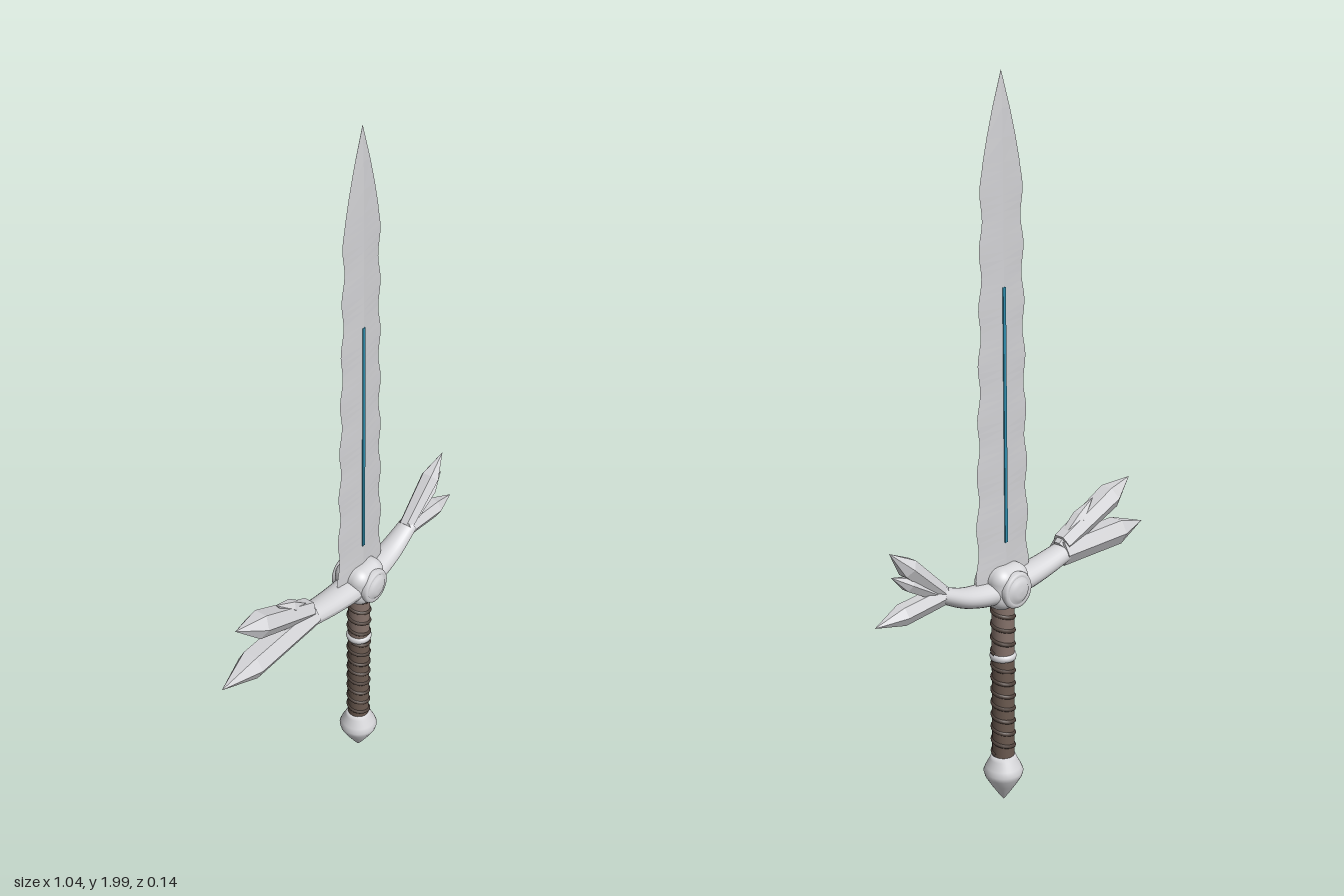
import * as THREE from 'three';
import { RoundedBoxGeometry } from 'three/addons/geometries/RoundedBoxGeometry.js';

const CX = 0.065; // sword axis

export function createModel() {
  const mat = (name, color, opts = {}) => {
    const m = new THREE.MeshStandardMaterial({ color, ...opts });
    m.name = name;
    return m;
  };
  const steel = mat('blade steel', 0xd2d2d5, { flatShading: true });
  const silver = mat('smooth silver', 0xd6d6d9);
  const crystalSilver = mat('faceted silver', 0xd4d4d7, { flatShading: true });
  const leather = mat('light leather', 0x85726a);
  const darkLeather = mat('dark leather', 0x6b5a50);
  const cord = mat('dark cord', 0x50433c);
  const blue = mat('blue inlay', 0x2f8cab);

  const model = new THREE.Group();
  model.name = 'sword';
  const add = (name, geometry, material, x = 0, y = 0, z = 0) => {
    const mesh = new THREE.Mesh(geometry, material);
    mesh.name = name;
    mesh.position.set(x, y, z);
    model.add(mesh);
    return mesh;
  };
  const lathe = (points, segments = 32) =>
    new THREE.LatheGeometry(points.map(([r, y]) => new THREE.Vector2(r, y)), segments);

  // Blade: diamond sections with wavy edges, drawn in to a point
  const bladeDepth = (y) => 0.014 - 0.008 * ((y - 0.66) / 1.12);
  function bladeGeometry() {
    const rows = [];
    for (let i = 0; i <= 56; i++) {
      const y = 0.66 + (i / 56) * 1.12;
      const mean = 0.098 - 0.028 * (i / 56);
      const wave = 0.005 * Math.cos(((y - 0.7) / 0.145) * Math.PI * 2);
      rows.push([y, mean + wave, bladeDepth(y)]);
    }
    rows.push([1.84, 0.051, 0.0055], [1.91, 0.031, 0.004], [2, 0.0005, 0.0005]);
    const pos = [], index = [];
    for (const [y, w, t] of rows) pos.push(w, y, 0, 0, y, t, -w, y, 0, 0, y, -t);
    for (let i = 0; i < rows.length - 1; i++) {
      for (let j = 0; j < 4; j++) {
        const a = i * 4 + j, b = i * 4 + ((j + 1) % 4);
        index.push(a, a + 4, b, b, a + 4, b + 4);
      }
    }
    const indexed = new THREE.BufferGeometry();
    indexed.setAttribute('position', new THREE.Float32BufferAttribute(pos, 3));
    indexed.setIndex(index);
    const g = indexed.toNonIndexed();
    g.computeVertexNormals();
    return g;
  }
  add('blade', bladeGeometry(), steel, CX);

  // Inlay strip on both faces, following the taper of the blade
  const inlayY = 1.128, inlayLength = 0.685;
  const inlayTilt = Math.atan(0.008 / 1.12);
  for (const s of [1, -1]) {
    const strip = add('bladeInlay', new THREE.BoxGeometry(0.01, inlayLength, 0.004), blue,
      CX, inlayY, s * bladeDepth(inlayY));
    strip.rotation.x = -s * inlayTilt;
  }

  // Grip in two sections with spiral binding and a ring between them
  class Helix extends THREE.Curve {
    constructor(y0, y1, turns) { super(); Object.assign(this, { y0, y1, turns }); }
    getPoint(t, target = new THREE.Vector3()) {
      const a = t * this.turns * Math.PI * 2;
      return target.set(0.029 * Math.cos(a), this.y0 + (this.y1 - this.y0) * t, 0.029 * Math.sin(a));
    }
  }
  for (const [y0, y1, turns, skin] of [[0.145, 0.452, 7.5, darkLeather], [0.452, 0.615, 3.5, leather]]) {
    add('grip', new THREE.CylinderGeometry(0.031, 0.031, y1 - y0, 24), skin, CX, (y0 + y1) / 2);
    const path = new Helix(y0 + 0.01, y1 - 0.012, turns);
    add('gripBinding', new THREE.TubeGeometry(path, turns * 24, 0.0065, 8), cord, CX);
  }
  add('gripRing', lathe([[0.028, -0.011], [0.035, -0.008], [0.037, 0], [0.035, 0.008], [0.028, 0.011]]), silver, CX, 0.452);

  // Pommel
  add('pommel', lathe([[0, 0.006], [0.012, 0.022], [0.036, 0.058], [0.052, 0.085], [0.056, 0.1],
    [0.05, 0.115], [0.038, 0.138], [0.033, 0.15], [0, 0.152]]), silver, CX);

  // Guard hub with round bosses front and back
  add('guardHub', new RoundedBoxGeometry(0.124, 0.12, 0.112, 6, 0.038), silver, CX, 0.662);
  const boss = lathe([[0.05, 0.03], [0.051, 0.054], [0.047, 0.061], [0.039, 0.062], [0.037, 0.06],
    [0.03, 0.066], [0.018, 0.07], [0, 0.071]]);
  for (const s of [1, -1]) {
    add('guardBoss', boss, silver, CX, 0.66).rotation.x = s * Math.PI / 2;
  }

  // Tapered, curved guard arms
  function armGeometry(points, r0, r1, zStretch) {
    const curve = new THREE.CatmullRomCurve3(points.map(([x, y]) => new THREE.Vector3(x, y, 0)));
    const n = 20, radial = 24;
    const g = new THREE.TubeGeometry(curve, n, 1, radial);
    const p = g.attributes.position;
    for (let i = 0; i < p.count; i++) {
      const t = Math.floor(i / (radial + 1)) / n;
      const c = curve.getPointAt(t), r = r0 + (r1 - r0) * t;
      p.setXYZ(i, c.x + (p.getX(i) - c.x) * r, c.y + (p.getY(i) - c.y) * r, p.getZ(i) * r * zStretch);
    }
    g.computeVertexNormals();
    return g;
  }
  add('rightArm', armGeometry([[CX, 0.652], [0, 0.656], [-0.08, 0.666], [-0.18, 0.686]], 0.036, 0.027, 1.32), silver);
  add('leftArm', armGeometry([[CX, 0.652], [0.13, 0.652], [0.21, 0.667], [0.3, 0.705]], 0.036, 0.021, 1.32), silver);

  // Six-sided crystals: base, tip, radius, base radius ratio, shoulder position
  const up = new THREE.Vector3(0, 1, 0);
  function crystal(name, from, to, r, baseRatio, shoulder) {
    const a = new THREE.Vector3(from[0], from[1], 0);
    const dir = new THREE.Vector3(to[0], to[1], 0).sub(a);
    const len = dir.length();
    const g = lathe([[0, 0], [r * baseRatio, 0], [r, len * shoulder], [0, len]], 6).toNonIndexed();
    g.computeVertexNormals();
    const mesh = add(name, g, crystalSilver, a.x, a.y);
    mesh.quaternion.setFromUnitVectors(up, dir.normalize());
  }
  crystal('rightLowerCrystal', [-0.16, 0.686], [-0.522, 0.681], 0.041, 0.97, 0.68);
  crystal('rightUpperCrystal', [-0.17, 0.71], [-0.459, 0.835], 0.038, 0.8, 0.7);
  crystal('rightSmallCrystal', [-0.16, 0.705], [-0.3, 0.812], 0.021, 0.9, 0.6);
  crystal('leftLowerCrystal', [0.282, 0.702], [0.52, 0.684], 0.029, 0.95, 0.62);
  crystal('leftUpperCrystal', [0.29, 0.708], [0.466, 0.867], 0.028, 0.8, 0.66);
  crystal('leftSmallCrystal', [0.3, 0.705], [0.462, 0.802], 0.021, 0.85, 0.65);

  return model;
}
